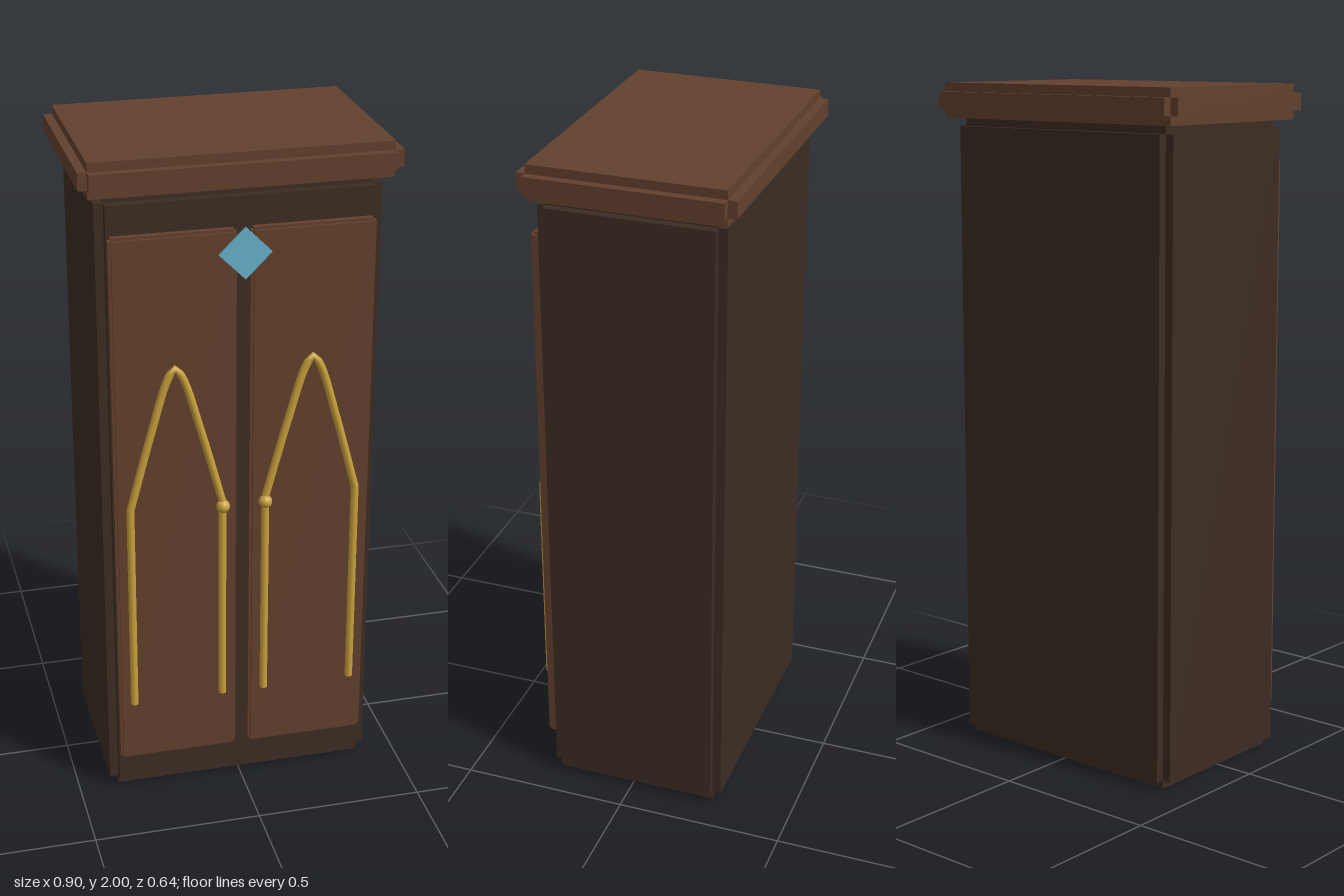
import * as THREE from 'three';

const darkWood = new THREE.MeshStandardMaterial({ name: 'darkWood', color: 0x3c2c22 });
const warmWood = new THREE.MeshStandardMaterial({ name: 'warmWood', color: 0x62402d });
const brass = new THREE.MeshStandardMaterial({ name: 'brass', color: 0xc9a13b });
const crystal = new THREE.MeshStandardMaterial({ name: 'crystal', color: 0x66b3ca });

// Block with notched edges: three crossing boxes, each reaching full size on one axis
function steppedBlock(name, material, min, max, step) {
  const group = new THREE.Group();
  group.name = name;
  const size = max.map((v, i) => v - min[i]);
  for (let axis = 0; axis < 3; axis++) {
    const dims = size.map((s, i) => (i === axis ? s : s - 2 * step));
    const mesh = new THREE.Mesh(new THREE.BoxGeometry(...dims), material);
    mesh.position.set(...min.map((v, i) => (v + max[i]) / 2));
    mesh.name = name + ['Sides', 'Ends', 'Faces'][axis];
    group.add(mesh);
  }
  return group;
}

function rod(name, curve, segments, radius) {
  const mesh = new THREE.Mesh(new THREE.TubeGeometry(curve, segments, radius, 10), brass);
  mesh.name = name;
  return mesh;
}

export function createModel() {
  const model = new THREE.Group();
  model.name = 'wardrobe';

  // Carcass and cornice
  model.add(steppedBlock('carcass', darkWood, [-0.405, 0, -0.281], [0.405, 1.9, 0.258], 0.026));
  model.add(steppedBlock('cornice', warmWood, [-0.452, 1.898, -0.32], [0.452, 2, 0.295], 0.026));

  const z = 0.291;
  const radius = 0.0115;
  for (const side of [1, -1]) {
    const label = side > 0 ? 'left' : 'right';

    // Door panel
    const near = 0.02 * side, far = 0.377 * side;
    model.add(steppedBlock(label + 'Door', warmWood,
      [Math.min(near, far), 0.122, 0.235], [Math.max(near, far), 1.788, 0.284], 0.008));

    // Pointed arch tracery
    const tracery = new THREE.Group();
    tracery.name = label + 'Tracery';
    tracery.position.set(0.199 * side, 0, z);
    for (const x of [-0.135, 0.135]) {
      tracery.add(rod('upright', new THREE.LineCurve3(
        new THREE.Vector3(x, 0.32, 0), new THREE.Vector3(x, 0.975, 0)), 1, radius));
      const foot = new THREE.Mesh(new THREE.CircleGeometry(radius, 10), brass);
      foot.rotation.x = Math.PI / 2;
      foot.position.set(x, 0.32, 0);
      foot.name = 'uprightFoot';
      tracery.add(foot);
    }
    const archPoints = [
      [-0.135, 0.97], [-0.073, 1.2], [-0.02, 1.372], [0, 1.398],
      [0.02, 1.372], [0.073, 1.2], [0.135, 0.97],
    ].map(([x, y]) => new THREE.Vector3(x, y, 0));
    tracery.add(rod('arch', new THREE.CatmullRomCurve3(archPoints), 40, radius));
    model.add(tracery);

    // Door knob
    const knob = new THREE.Mesh(new THREE.SphereGeometry(0.02, 16, 12), brass);
    knob.name = label + 'Knob';
    knob.position.set(0.063 * side, 0.956, 0.296);
    model.add(knob);
  }

  // Diamond emblem across the door seam
  const emblem = new THREE.Mesh(new THREE.BoxGeometry(0.106, 0.106, 0.008), crystal);
  emblem.name = 'diamondEmblem';
  emblem.position.set(0, 1.722, 0.294);
  emblem.rotation.z = Math.PI / 4;
  model.add(emblem);

  return model;
}
